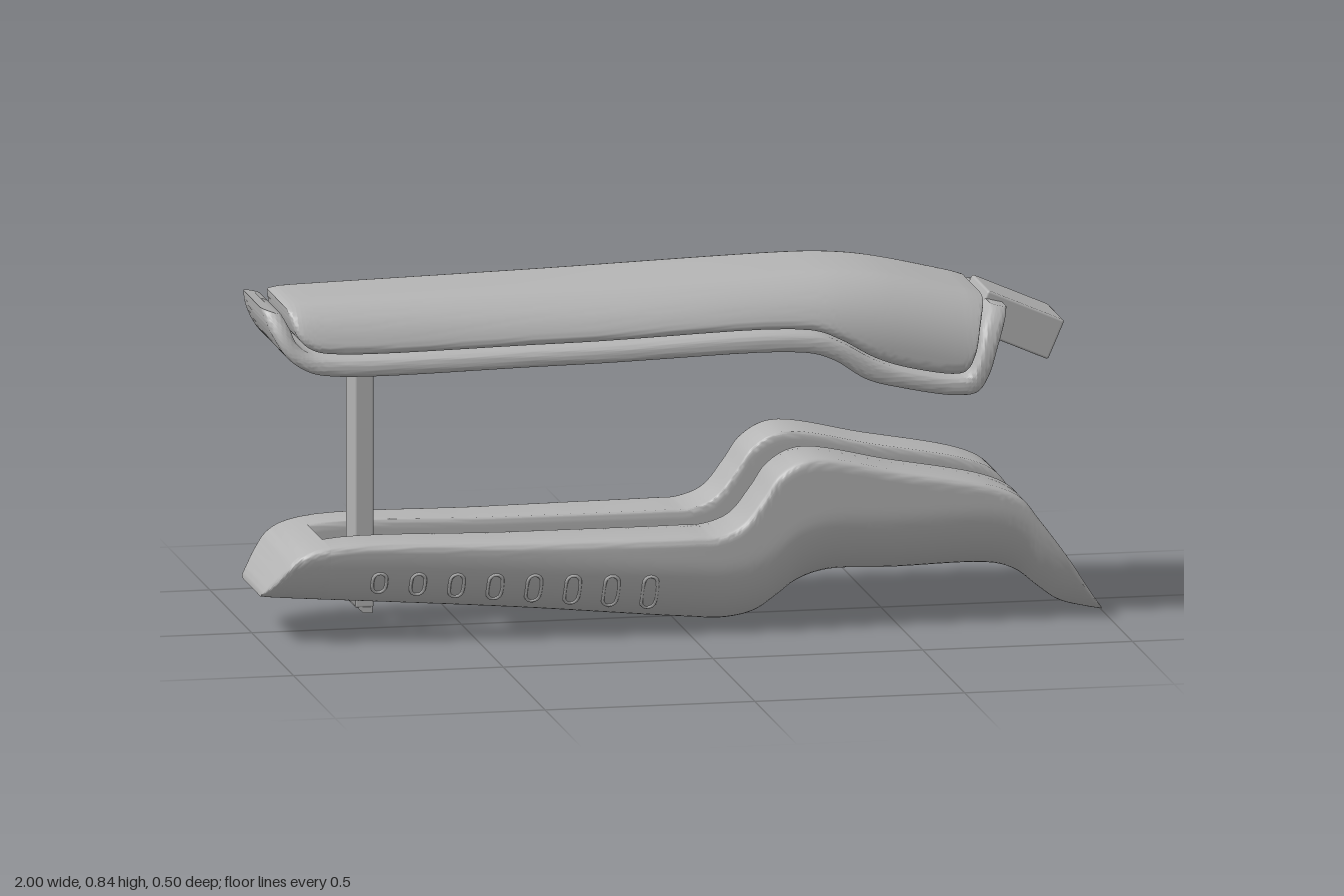
import * as THREE from 'three';
import { toCreasedNormals } from 'three/addons/utils/BufferGeometryUtils.js';
import { RoundedBoxGeometry } from 'three/addons/geometries/RoundedBoxGeometry.js';

const FLAT = 0.1; // half width of the flat strip in every rounded section

// Side outlines: each row joins a lower point to an upper one [x, y, x, y]
const TRAY = [
  [-1, .798, -.955, .785], [-.985, .75, -.94, .755], [-.95, .69, -.925, .72], [-.91, .66, -.9, .7],
  [-.86, .645, -.85, .69], [-.3, .655, -.3, .7], [.27, .665, .29, .71], [.34, .645, .36, .685],
  [.42, .595, .44, .64], [.5, .572, .51, .615], [.64, .548, .635, .593], [.685, .555, .665, .6],
  [.71, .59, .685, .64], [.735, .66, .7, .7], [.77, .738, .73, .748],
];
const COVER = [
  [-.94, .795, -.93, .803], [-.93, .755, -.92, .805], [-.915, .725, -.91, .806], [-.89, .705, -.89, .807],
  [-.85, .695, -.85, .808], [-.3, .705, -.3, .82], [.29, .715, .29, .836], [.36, .69, .38, .834],
  [.44, .645, .46, .826], [.51, .62, .53, .813], [.635, .598, .62, .792], [.66, .605, .66, .782],
  [.68, .64, .68, .777], [.695, .7, .7, .771], [.715, .755, .715, .766],
];
const LOWER = [
  [-1, .108, -1, .115], [-.975, .105, -.965, .165], [-.94, .102, -.925, .21], [-.85, .095, -.85, .235],
  [-.4, .06, -.4, .235], [0, .022, 0, .235], [.1, .016, .06, .237], [.17, .03, .12, .26],
  [.22, .062, .17, .32], [.27, .098, .21, .375], [.34, .12, .28, .41], [.5, .12, .5, .372],
  [.74, .12, .73, .325], [.8, .1, .79, .295], [.85, .06, .83, .245], [.9, .025, .9, .15],
  [.96, .008, .96, .06], [1, 0, 1, .006],
];
const SLOT_START = 3 / (LOWER.length - 1);

const curveOf = (pts) => new THREE.CatmullRomCurve3(pts.map(([x, y]) => new THREE.Vector3(x, y, 0)));

// Height of a smooth curve as a function of x
function heightOf(pts) {
  const p = curveOf(pts).getPoints(160);
  return (x) => {
    let i = 1;
    while (i < p.length - 1 && p[i].x < x) i++;
    const t = THREE.MathUtils.clamp((x - p[i - 1].x) / (p[i].x - p[i - 1].x || 1), 0, 1);
    return THREE.MathUtils.lerp(p[i - 1].y, p[i].y, t);
  };
}

const topY = heightOf([[-1, .802], ...COVER.map((r) => [r[2], r[3]]), [.78, .75]]);
const bottomY = heightOf(LOWER.map((r) => [r[0], r[1]]));
const fullHalfWidth = heightOf([[-1, .165], [-.97, .183], [-.92, .192], [-.5, .222], [-.05, .246], [.3, .247], [1, .247]]);

// Half width at depth d below (or above) the rounded crest
function rounded(x, d) {
  const q = THREE.MathUtils.clamp(d / 0.16, 0, 1);
  return FLAT + (fullHalfWidth(x) - FLAT) * Math.sqrt(1 - (1 - q) ** 2);
}
const upperWidth = (x, y) => rounded(x, topY(x) - y);
const lowerWidth = (x, y) => rounded(x, y - bottomY(x));

const bevel = (d, r) => (r > 0 && d < r ? r - Math.sqrt(Math.max(0, r * r - (r - d) ** 2)) : 0);

// Loft through the rows; inner = null mirrors the section, a number gives a flat inner wall
function loft(rows, width, { from = 0, to = 1, inner = null, low = 0, high = 0, inset = 0, side = 1 }) {
  const lower = curveOf(rows.map((r) => [r[0], r[1]]));
  const upper = curveOf(rows.map((r) => [r[2], r[3]]));
  const steps = Math.ceil((rows.length - 1) * 8 * (to - from));
  const n = 24, ring = 2 * (n + 1);
  const pos = [], idx = [];
  for (let i = 0; i <= steps; i++) {
    const t = from + (to - from) * i / steps;
    const a = lower.getPoint(t), b = upper.getPoint(t), len = a.distanceTo(b);
    const section = [];
    for (let k = 0; k <= n; k++) {
      const u = 0.5 - 0.5 * Math.cos(Math.PI * k / n);
      const p = a.clone().lerp(b, u);
      const cut = bevel(u * len, Math.min(low, len / 2)) + bevel((1 - u) * len, Math.min(high, len / 2));
      const z = width(p.x, p.y) - inset - cut;
      section.push([p.x, p.y, z, inner === null ? -z : Math.min(inner + cut * 0.4, z)]);
    }
    section.forEach((s) => pos.push(s[0], s[1], s[2] * side));
    section.reverse().forEach((s) => pos.push(s[0], s[1], s[3] * side));
  }
  const quad = (a, b, c, d) => idx.push(a, b, c, a, c, d);
  for (let i = 0; i < steps; i++)
    for (let k = 0; k < ring; k++) {
      const m = (k + 1) % ring, o = i * ring;
      quad(o + k, o + ring + k, o + ring + m, o + m);
    }
  const e = steps * ring;
  for (let k = 0; k < n; k++) {
    quad(k, k + 1, ring - 2 - k, ring - 1 - k);
    quad(e + k, e + ring - 1 - k, e + ring - 2 - k, e + k + 1);
  }
  // Turn the faces outward if the signed volume is negative
  const v = (i) => new THREE.Vector3().fromArray(pos, i * 3);
  let volume = 0;
  for (let i = 0; i < idx.length; i += 3) volume += v(idx[i]).dot(v(idx[i + 1]).cross(v(idx[i + 2])));
  if (volume < 0) idx.reverse();
  const g = new THREE.BufferGeometry();
  g.setAttribute('position', new THREE.Float32BufferAttribute(pos, 3));
  g.setIndex(idx);
  return toCreasedNormals(g, 0.7);
}

export function createModel() {
  const model = new THREE.Group();
  const grey = new THREE.MeshStandardMaterial({ color: 0xb4b4b4 });
  grey.name = 'grey';
  const add = (name, geometry) => {
    const mesh = new THREE.Mesh(geometry, grey);
    mesh.name = name;
    model.add(mesh);
    return mesh;
  };

  // Upper handle: rim tray and domed cover with a seam between them
  add('upperRim', loft(TRAY, upperWidth, { low: 0.016, high: 0.02 }));
  add('upperCover', loft(COVER, upperWidth, { low: 0.02, inset: 0.004 }));

  // Plug at the end of the upper handle
  const plug = add('plug', new RoundedBoxGeometry(0.2, 0.1, 0.195, 2, 0.006));
  plug.position.set(0.808, 0.681, 0);
  plug.rotation.z = -0.41;

  // Lower cradle: closed end and two mirrored arms
  add('cradleEnd', loft(LOWER, lowerWidth, { to: SLOT_START, high: 0.018 }));
  for (const side of [1, -1])
    add(side > 0 ? 'frontArm' : 'backArm', loft(LOWER, lowerWidth, { from: SLOT_START, inner: 0.08, high: 0.018, side }));

  // Post joining the two halves, with a hooked foot
  const post = add('post', new RoundedBoxGeometry(0.046, 0.6, 0.108, 2, 0.006));
  post.position.set(-0.742, 0.36, 0);
  const hook = new THREE.Shape([[-.8, .1], [-.745, .048], [-.722, .046], [-.722, .13], [-.8, .13]]
    .map(([x, y]) => new THREE.Vector2(x, y)));
  add('postFoot', new THREE.ExtrudeGeometry(hook, { depth: 0.104, bevelEnabled: false }).translate(0, 0, -0.052));

  // Grip slots outlined along both sides of the cradle
  for (const side of [1, -1])
    for (let i = 0; i < 8; i++) {
      const f = i / 7, cx = -0.732 + 0.637 * f, cy = 0.145 - 0.041 * f;
      const r = 0.016, half = 0.009 + 0.017 * f;
      const points = [];
      for (let k = 0; k < 16; k++) {
        const a = (k + 0.5) / 16 * Math.PI * 2;
        const x = cx + r * Math.cos(a);
        const y = cy + r * Math.sin(a) + Math.sign(Math.sin(a)) * half;
        points.push(new THREE.Vector3(x, y, side * lowerWidth(x, y)));
      }
      add('gripSlot', new THREE.TubeGeometry(new THREE.CatmullRomCurve3(points, true), 40, 0.004, 6, true));
    }
  return model;
}
